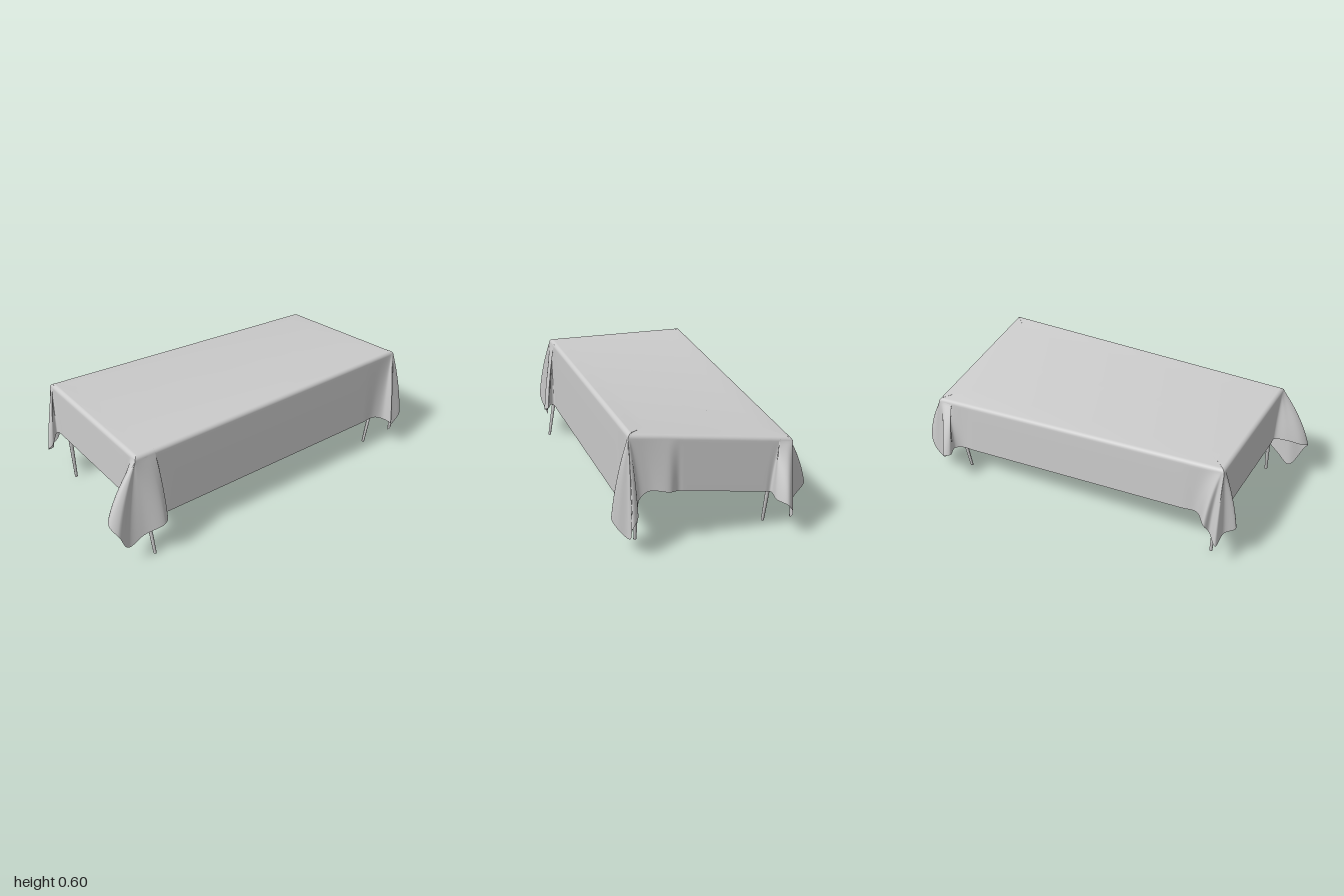
import * as THREE from 'three';

const TOP = 0.597, ROUND = 0.022, SAG = 0.115;
const RECT = { x0: -0.4, x1: 0.435, z0: -0.87, z1: 0.83 };
const clamp = THREE.MathUtils.clamp, lerp = THREE.MathUtils.lerp;

// Hem of the cloth around each corner fold as [x, z, y]; straight hems join them
const FOLDS = [
  // front left
  [[0.34, 0.833, 0.315], [0.365, 0.9, 0.31], [0.4, 0.975, 0.285], [0.44, 0.999, 0.265], [0.48, 0.97, 0.21],
    [0.45, 0.9, 0.09], [0.465, 0.82, 0.14], [0.503, 0.72, 0.185], [0.485, 0.69, 0.2], [0.455, 0.74, 0.205],
    [0.438, 0.74, 0.195]],
  // back left
  [[0.438, -0.76, 0.198], [0.46, -0.81, 0.18], [0.51, -0.825, 0.17], [0.49, -0.85, 0.12], [0.44, -0.885, 0.07],
    [0.445, -0.965, 0.16], [0.415, -0.95, 0.2], [0.39, -0.88, 0.26], [0.34, -0.875, 0.3], [0.24, -0.895, 0.29],
    [0.19, -0.873, 0.282]],
  // back right
  [[-0.29, -0.873, 0.21], [-0.29, -0.95, 0.2], [-0.33, -0.999, 0.185], [-0.375, -0.96, 0.12],
    [-0.39, -0.89, 0.07], [-0.43, -0.83, 0.13], [-0.515, -0.785, 0.195], [-0.5, -0.75, 0.2],
    [-0.43, -0.77, 0.195], [-0.403, -0.74, 0.195]],
  // front right
  [[-0.403, 0.7, 0.29], [-0.47, 0.765, 0.28], [-0.44, 0.79, 0.22], [-0.46, 0.835, 0.16],
    [-0.39, 0.85, 0.2], [-0.355, 0.9, 0.225], [-0.335, 0.88, 0.26], [-0.355, 0.84, 0.31],
    [-0.33, 0.832, 0.315]],
];

// Height of the table top, which sinks toward the back right corner
function topHeight(x, z) {
  const u = clamp((RECT.x1 - x) / (RECT.x1 - RECT.x0), 0, 1);
  const w = clamp((RECT.z1 - z) / (RECT.z1 - RECT.z0), 0, 1);
  return TOP - SAG * u * w;
}

// Closed hem curve through the folds and the straight runs between them
function hemCurve() {
  const folds = FOLDS.map(f => f.map(([x, z, y]) => new THREE.Vector3(x, y, z)));
  const points = folds.flatMap((fold, k) => {
    const end = fold[fold.length - 1], next = folds[(k + 1) % folds.length][0];
    const run = [0.06, 0.35, 0.65, 0.94].map(t => end.clone().lerp(next, t));
    return [...fold, ...run];
  });
  return new THREE.CatmullRomCurve3(points, true, 'centripetal');
}

// Gathers positions close to a corner toward it, so that the folds fan out
function gather(value, lo, hi, reach = 0.17) {
  const v = clamp(value, lo, hi);
  if (v - lo < reach) return lo + (v - lo) ** 2 / reach;
  if (hi - v < reach) return hi - (hi - v) ** 2 / reach;
  return v;
}

// Table edge point from which a hem point hangs
function edgePoint(p) {
  const gaps = [p.x - RECT.x0, RECT.x1 - p.x, p.z - RECT.z0, RECT.z1 - p.z];
  const side = gaps.indexOf(Math.min(...gaps));
  const x = gather(p.x, RECT.x0, RECT.x1), z = gather(p.z, RECT.z0, RECT.z1);
  if (side === 0) return [RECT.x0, z];
  if (side === 1) return [RECT.x1, z];
  return [x, side === 2 ? RECT.z0 : RECT.z1];
}

function clothGeometry() {
  const curve = hemCurve();
  const columns = curve.points.length * 7, flat = 8, bend = 6, hang = 22;
  const rows = flat + bend + 1 + hang;
  const positions = [], indices = [];
  for (let i = 0; i < columns; i++) {
    const hem = curve.getPoint(i / columns);
    const [ex, ez] = edgePoint(hem);
    const ix = clamp(ex, RECT.x0 + ROUND, RECT.x1 - ROUND);
    const iz = clamp(ez, RECT.z0 + ROUND, RECT.z1 - ROUND);
    // flat top, from the centre line to the start of the bend
    for (let j = 0; j < flat; j++) {
      const x = lerp(0.0175, ix, j / flat), z = lerp(clamp(iz, -0.45, 0.41), iz, j / flat);
      positions.push(x, topHeight(x, z), z);
    }
    // rounded table edge
    const edgeY = topHeight(ex, ez);
    for (let j = 0; j <= bend; j++) {
      const a = (j / bend) * Math.PI / 2, s = Math.sin(a);
      positions.push(lerp(ix, ex, s), edgeY - ROUND * (1 - Math.cos(a)), lerp(iz, ez, s));
    }
    // hanging part, flaring out toward the hem
    for (let j = 1; j <= hang; j++) {
      const v = j / hang, f = v * (1.5 - 0.5 * v);
      positions.push(lerp(ex, hem.x, f), lerp(edgeY - ROUND, hem.y, v), lerp(ez, hem.z, f));
    }
  }
  for (let i = 0; i < columns; i++) {
    const n = (i + 1) % columns;
    for (let j = 0; j < rows - 1; j++) {
      const a = i * rows + j, b = n * rows + j;
      indices.push(a, a + 1, b, b, a + 1, b + 1);
    }
  }
  const geometry = new THREE.BufferGeometry();
  geometry.setAttribute('position', new THREE.Float32BufferAttribute(positions, 3));
  geometry.setIndex(indices);
  geometry.computeVertexNormals();
  return geometry;
}

// Table body just under the cloth, with a sloping underside
function bodyGeometry() {
  const g = new THREE.BoxGeometry(0.815, 0.2, 1.68, 8, 1, 8);
  g.translate(0.0175, 0, -0.02);
  const p = g.attributes.position;
  for (let i = 0; i < p.count; i++) {
    const y = topHeight(p.getX(i), p.getZ(i));
    p.setY(i, p.getY(i) > 0 ? y - 0.02 : y - 0.215);
  }
  g.computeVertexNormals();
  return g;
}

// Tapered leg, leaning by shear so that the foot stays flat on the ground
function legGeometry(foot, top, height = 0.42) {
  const g = new THREE.CylinderGeometry(0.014, 0.008, height, 12);
  g.translate(0, height / 2, 0);
  const p = g.attributes.position;
  for (let i = 0; i < p.count; i++) {
    const t = p.getY(i) / height;
    p.setX(i, p.getX(i) + lerp(foot[0], top[0], t));
    p.setZ(i, p.getZ(i) + lerp(foot[1], top[1], t));
  }
  g.computeVertexNormals();
  return g;
}

export function createModel() {
  const model = new THREE.Group();
  const grey = new THREE.MeshStandardMaterial({ color: 0xcccccc });
  const clothGrey = new THREE.MeshStandardMaterial({ color: 0xcccccc, side: THREE.DoubleSide });
  const add = (name, geometry, material) => {
    const mesh = new THREE.Mesh(geometry, material);
    mesh.name = name;
    model.add(mesh);
  };

  add('tablecloth', clothGeometry(), clothGrey);
  add('tableBody', bodyGeometry(), grey);

  // legs from foot [x, z] to top [x, z]
  add('frontLeftLeg', legGeometry([0.47, 0.765], [0.395, 0.785]), grey);
  add('frontRightLeg', legGeometry([-0.327, 0.765], [-0.332, 0.785]), grey);
  add('backLeftLeg', legGeometry([0.374, -0.757], [0.38, -0.83]), grey);
  add('backRightLeg', legGeometry([-0.305, -0.757], [-0.325, -0.83]), grey);
  return model;
}
